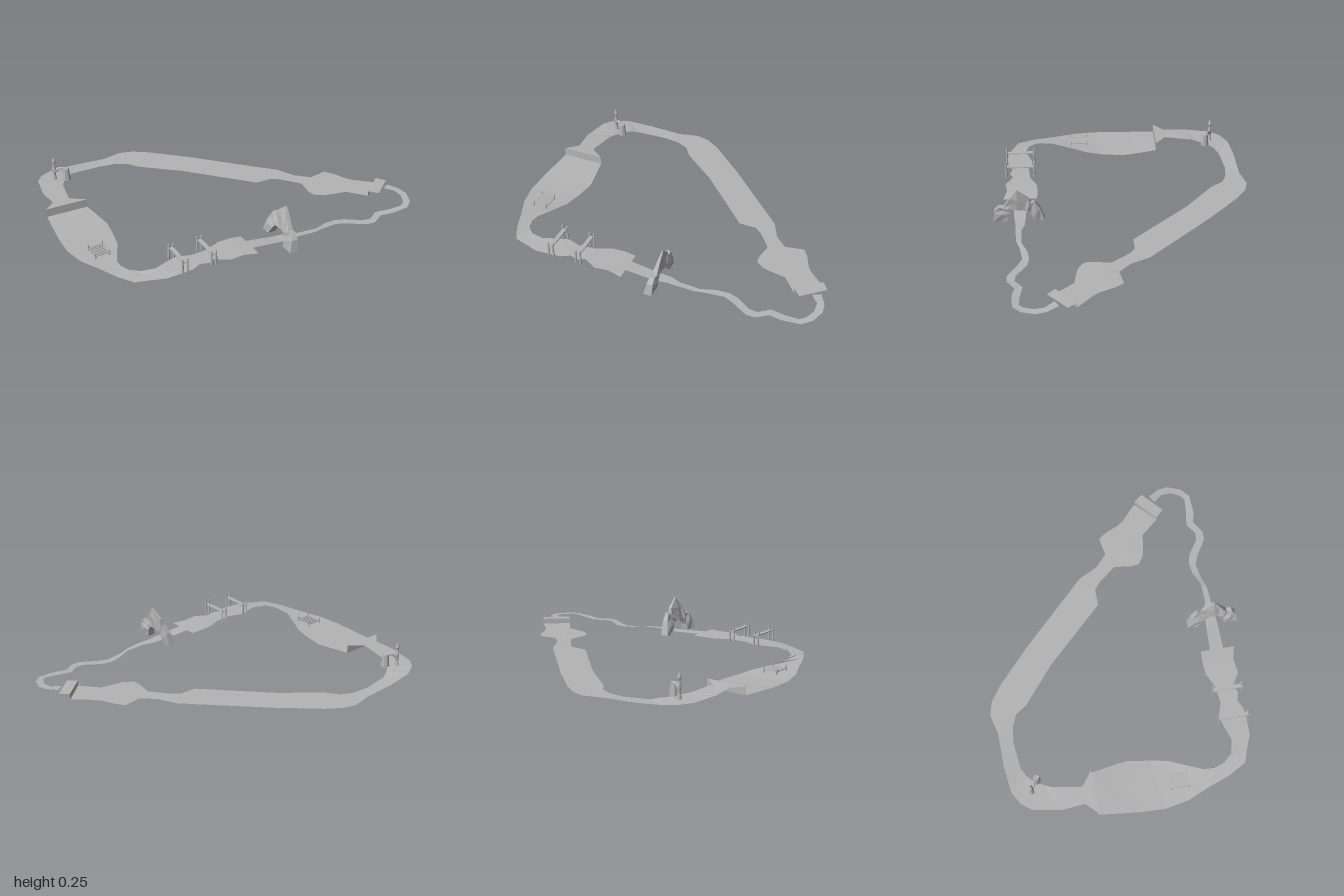
import * as THREE from 'three';

const stone = new THREE.MeshStandardMaterial({ color: 0xb4b4b4, side: THREE.DoubleSide, flatShading: true });
stone.name = 'plain grey';

function add(parent, name, geometry, x = 0, y = 0, z = 0) {
  const mesh = new THREE.Mesh(geometry, stone);
  mesh.name = name;
  mesh.position.set(x, y, z);
  parent.add(mesh);
  return mesh;
}

// Joins equal-sized rows of points into a surface
function loft(rows, closed = false) {
  const n = rows[0].length, index = [];
  for (let r = 0; r < rows.length - 1; r++) {
    for (let k = 0; k < (closed ? n : n - 1); k++) {
      const a = r * n + k, b = r * n + (k + 1) % n;
      index.push(a, a + n, b, a + n, b + n, b);
    }
  }
  const g = new THREE.BufferGeometry();
  g.setAttribute('position', new THREE.Float32BufferAttribute(rows.flat(2), 3));
  g.setIndex(index);
  g.computeVertexNormals();
  return g;
}

// Road stations: outer x, outer z, inner x, inner z, height
const road = (stations) => loft(stations.map(([ox, oz, ix, iz, y]) => [[ox, y, oz], [ix, y, iz]]));

const landingRoad = [
  [-0.97, -0.245, -0.72, -0.245, 0.01], [-0.985, -0.1, -0.7, -0.13, 0.004],
  [-0.995, 0, -0.685, -0.03, 0], [-1, 0.14, -0.705, 0.1, 0],
  [-0.975, 0.28, -0.725, 0.2, 0.006], [-0.925, 0.4, -0.775, 0.31, 0.016],
  [-0.875, 0.54, -0.815, 0.4, 0.027], [-0.82, 0.64, -0.82, 0.46, 0.035],
  [-0.75, 0.665, -0.8, 0.52, 0.04], [-0.66, 0.7, -0.755, 0.57, 0.045],
  [-0.58, 0.7, -0.675, 0.59, 0.05], [-0.5, 0.695, -0.59, 0.56, 0.052],
  [-0.45, 0.67, -0.525, 0.545, 0.055], [-0.4, 0.685, -0.45, 0.57, 0.055],
  [-0.36, 0.665, -0.35, 0.56, 0.055], [-0.28, 0.71, -0.26, 0.52, 0.055],
  [-0.2, 0.7, -0.18, 0.515, 0.054], [-0.115, 0.72, -0.115, 0.52, 0.05],
];
const canyonRoad = [
  [-0.115, 0.655, -0.115, 0.575, 0.05], [0.06, 0.655, 0.05, 0.585, 0.036],
  [0.14, 0.645, 0.14, 0.59, 0.034], [0.21, 0.645, 0.2, 0.61, 0.031],
  [0.3, 0.64, 0.32, 0.61, 0.025], [0.36, 0.62, 0.4, 0.575, 0.018],
  [0.46, 0.605, 0.47, 0.565, 0.013], [0.52, 0.63, 0.53, 0.58, 0.011],
  [0.62, 0.69, 0.62, 0.64, 0.011], [0.67, 0.69, 0.67, 0.645, 0.011],
  [0.74, 0.645, 0.73, 0.6, 0.013], [0.81, 0.66, 0.82, 0.615, 0.016],
  [0.92, 0.655, 0.9, 0.62, 0.022], [0.97, 0.61, 0.93, 0.595, 0.026],
  [1, 0.53, 0.955, 0.54, 0.031], [0.99, 0.47, 0.95, 0.48, 0.036],
  [0.95, 0.405, 0.905, 0.43, 0.042],
];
const jumpLip = [[0.97, 0.36, 0.845, 0.47, 0.043], [0.93, 0.31, 0.8, 0.425, 0.045]];
const backRoad = [
  [0.925, 0.305, 0.8, 0.425, 0.014], [0.83, 0.22, 0.71, 0.32, 0.013],
  [0.8, 0.18, 0.64, 0.31, 0.013], [0.765, 0.1, 0.57, 0.295, 0.014],
  [0.73, 0.05, 0.52, 0.26, 0.014], [0.62, 0.07, 0.515, 0.21, 0.013],
  [0.545, 0, 0.53, 0.11, 0.012], [0.49, -0.11, 0.44, 0, 0.011],
  [0.45, -0.15, 0.4, -0.03, 0.011], [0.42, -0.18, 0.3, -0.03, 0.01],
  [0.1, -0.5, -0.03, -0.37, 0.01], [-0.11, -0.69, -0.25, -0.55, 0.01],
  [-0.2, -0.75, -0.3, -0.62, 0.01], [-0.28, -0.77, -0.37, -0.65, 0.01],
  [-0.4, -0.74, -0.47, -0.66, 0.012], [-0.6, -0.735, -0.63, -0.64, 0.022],
  [-0.76, -0.715, -0.68, -0.615, 0.034], [-0.84, -0.67, -0.72, -0.58, 0.04],
  [-0.885, -0.61, -0.75, -0.53, 0.043], [-0.915, -0.44, -0.775, -0.48, 0.049],
  [-0.905, -0.31, -0.805, -0.31, 0.056], [-0.97, -0.245, -0.72, -0.245, 0.06],
];

// Vertical drop under a jump
const drop = (x0, z0, x1, z1, low, high) =>
  loft([[[x0, low, z0], [x1, low, z1]], [[x0, high, z0], [x1, high, z1]]]);

// Rock arch stations: inner z, inner y, outer z, outer y
function rockArch() {
  const stations = [
    [0.695, 0.03, 0.775, 0.03], [0.69, 0.065, 0.765, 0.1], [0.68, 0.085, 0.74, 0.132],
    [0.67, 0.1, 0.71, 0.13], [0.655, 0.108, 0.672, 0.19], [0.63, 0.108, 0.632, 0.245],
    [0.6, 0.105, 0.565, 0.187], [0.58, 0.1, 0.555, 0.15], [0.565, 0.085, 0.53, 0.165],
    [0.55, 0.06, 0.497, 0.11], [0.53, 0.03, 0.475, 0.03],
  ];
  const left = (y) => 0.05 + (y - 0.03) * 0.24;
  const right = (y) => 0.1 + (y - 0.03) * 0.04;
  return loft(stations.map(([iz, iy, oz, oy], k) => {
    const mz = (iz + oz) / 2, my = (iy + oy) / 2, bulge = k % 2 ? 0.007 : -0.004;
    return [
      [left(iy), iy, iz], [right(iy), iy, iz], [right(my) + bulge, my, mz],
      [right(oy), oy, oz], [left(oy), oy, oz], [left(my) - bulge, my, mz],
    ];
  }), true);
}

// Twin-post gateway across the road
function gateway(x) {
  const gate = new THREE.Group();
  gate.name = 'gateway';
  for (const z of [0.535, 0.705]) {
    for (const dx of [-0.014, 0.014]) {
      add(gate, 'gatePost', new THREE.CylinderGeometry(0.005, 0.006, 0.09, 6), x + dx, 0.093, z);
    }
  }
  add(gate, 'gateBeam', new THREE.BoxGeometry(0.024, 0.006, 0.17), x, 0.115, 0.62);
  return gate;
}

// Slatted frame on four short posts
function slattedFrame() {
  const frame = new THREE.Group();
  frame.name = 'slattedFrame';
  for (let k = 0; k < 8; k++) {
    add(frame, 'slat', new THREE.BoxGeometry(0.09, 0.004, 0.008), -0.855, 0.026, 0.195 + k * 0.0143);
  }
  for (const x of [-0.897, -0.813]) {
    add(frame, 'sideRail', new THREE.BoxGeometry(0.004, 0.004, 0.1), x, 0.024, 0.245);
    for (const z of [0.195, 0.297]) {
      add(frame, 'framePost', new THREE.BoxGeometry(0.006, 0.036, 0.006), x, 0.026, z);
    }
  }
  return frame;
}

// Spire joined to a tapered rock by a stone arm
function spireMonument() {
  const group = new THREE.Group();
  group.name = 'spireMonument';
  const profile = [[0.015, 0.04], [0.009, 0.07], [0.012, 0.11], [0.007, 0.14], [0.012, 0.157], [0.008, 0.17], [0, 0.187]];
  add(group, 'spire', new THREE.LatheGeometry(profile.map((p) => new THREE.Vector2(...p)), 7), -0.782, 0, -0.597);
  const rock = add(group, 'rockPillar', new THREE.CylinderGeometry(0.017, 0.024, 0.075, 7), -0.722, 0.077, -0.56);
  rock.rotation.y = -0.6;
  rock.scale.x = 1.1;
  const arm = new THREE.CatmullRomCurve3([
    new THREE.Vector3(-0.78, 0.09, -0.596), new THREE.Vector3(-0.758, 0.112, -0.582),
    new THREE.Vector3(-0.72, 0.11, -0.56),
  ]);
  add(group, 'stoneArm', new THREE.TubeGeometry(arm, 6, 0.009, 6));
  return group;
}

export function createModel() {
  const model = new THREE.Group();
  model.name = 'raceCircuit';
  add(model, 'landingRoad', road(landingRoad));
  add(model, 'canyonRoad', road(canyonRoad));
  add(model, 'jumpLip', road(jumpLip));
  add(model, 'backRoad', road(backRoad));
  add(model, 'leftJumpDrop', drop(-0.97, -0.245, -0.72, -0.245, 0.01, 0.06));
  add(model, 'rightJumpDrop', drop(0.8, 0.425, 0.93, 0.31, 0.014, 0.045));
  add(model, 'rockArch', rockArch());
  model.add(gateway(-0.555), gateway(-0.383), slattedFrame(), spireMonument());
  return model;
}
